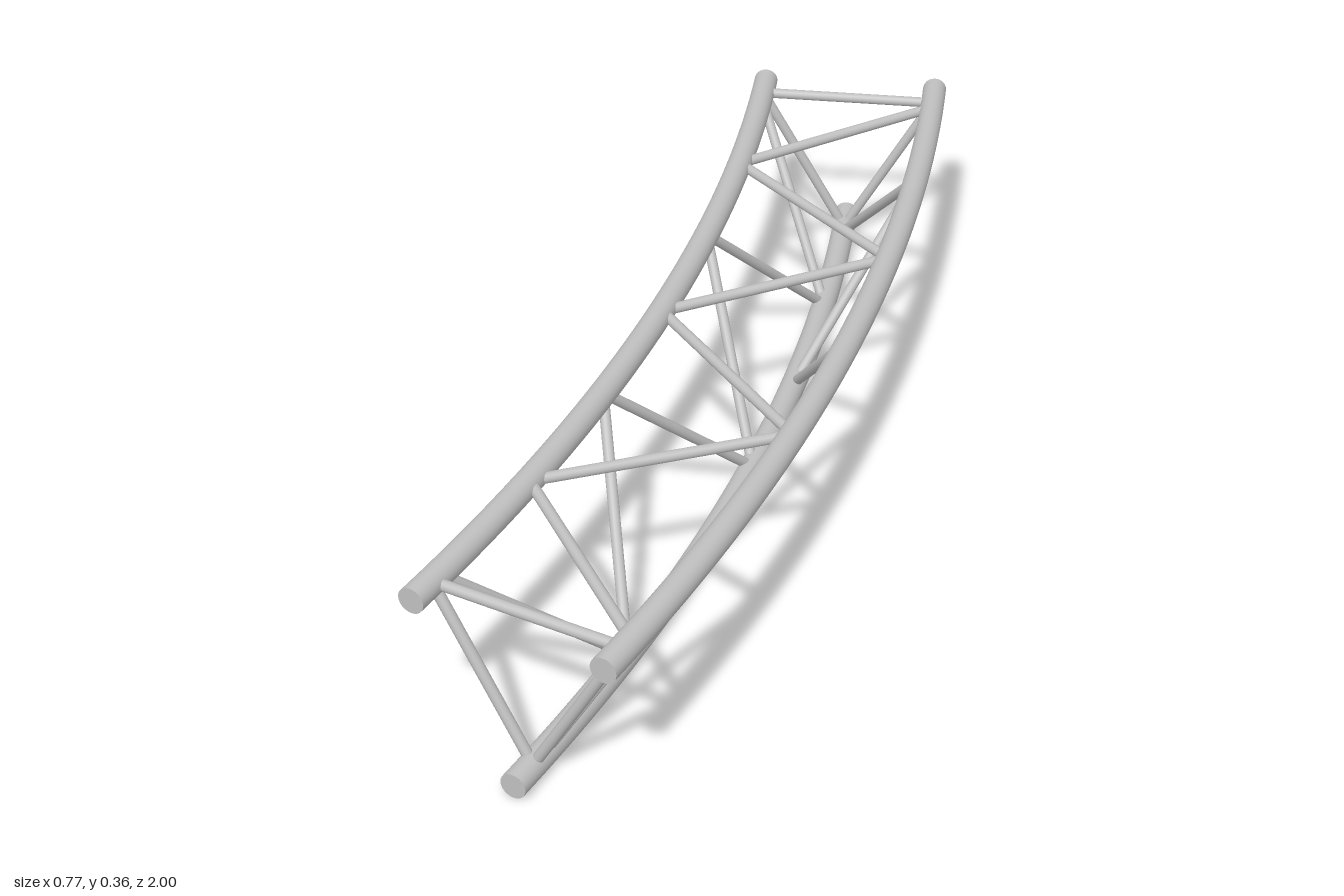
import * as THREE from 'three';
import { mergeGeometries } from 'three/addons/utils/BufferGeometryUtils.js';

const rad = THREE.MathUtils.degToRad;
const ARC = 22.5;          // sweep of the curved truss, degrees
const CHORD_R = 0.024;
const BRACE_R = 0.01;

// The three concentric chords: bend radius and height
const CHORDS = {
  inner: { R: 4.845, y: 0.333 },
  outer: { R: 5.2, y: 0.333 },
  bottom: { R: 5.022, y: 0.024 },
};

export function createModel() {
  const truss = new THREE.Group();
  truss.name = 'curvedTruss';
  truss.position.set(-4.84, 0, 1); // centre of the bend

  const metal = new THREE.MeshStandardMaterial({ color: 0xc0c0c0 });
  metal.name = 'aluminium grey';

  const addMesh = (name, geometry) => {
    const mesh = new THREE.Mesh(geometry, metal);
    mesh.name = name;
    truss.add(mesh);
    return mesh;
  };

  // Main tubes: torus arcs with flat end caps
  for (const [name, { R, y }] of Object.entries(CHORDS)) {
    const tube = new THREE.TorusGeometry(R, CHORD_R, 24, 36, rad(ARC)).rotateX(-Math.PI / 2);
    const frontCap = new THREE.CircleGeometry(CHORD_R, 24).translate(R, 0, 0);
    const backCap = new THREE.CircleGeometry(CHORD_R, 24)
      .rotateY(Math.PI).translate(R, 0, 0).rotateY(rad(ARC));
    addMesh(name + 'Chord', mergeGeometries([tube, frontCap, backCap])).position.y = y;
  }

  // Point on a chord at a given angle along the bend
  const node = (chord, deg) => {
    const { R, y } = CHORDS[chord];
    return new THREE.Vector3(R * Math.cos(rad(deg)), y, -R * Math.sin(rad(deg)));
  };

  // Thin rod between two points
  const up = new THREE.Vector3(0, 1, 0);
  const addBrace = (name, a, b) => {
    const dir = b.clone().sub(a);
    const rod = addMesh(name, new THREE.CylinderGeometry(BRACE_R, BRACE_R, dir.length(), 16));
    rod.position.copy(a).add(b).multiplyScalar(0.5);
    rod.quaternion.setFromUnitVectors(up, dir.normalize());
  };

  // Each face zigzags from its first chord (even nodes) to its second (odd nodes)
  const faces = [
    ['top', 'outer', 'inner'],
    ['innerSide', 'inner', 'bottom'],
    ['outerSide', 'bottom', 'outer'],
  ];
  const BAYS = 6, START = 0.95, STEP = (ARC - 2 * START) / BAYS;
  for (const [face, even, odd] of faces) {
    const zig = (k) => node(k % 2 ? odd : even, START + k * STEP);
    for (let k = 0; k < BAYS; k++) addBrace(face + 'Diagonal', zig(k), zig(k + 1));
    // Straight rods close both ends
    for (const deg of [0.7, ARC - 0.7]) addBrace(face + 'EndRod', node(even, deg), node(odd, deg));
  }

  const model = new THREE.Group();
  model.name = 'trussSegment';
  model.add(truss);
  return model;
}
